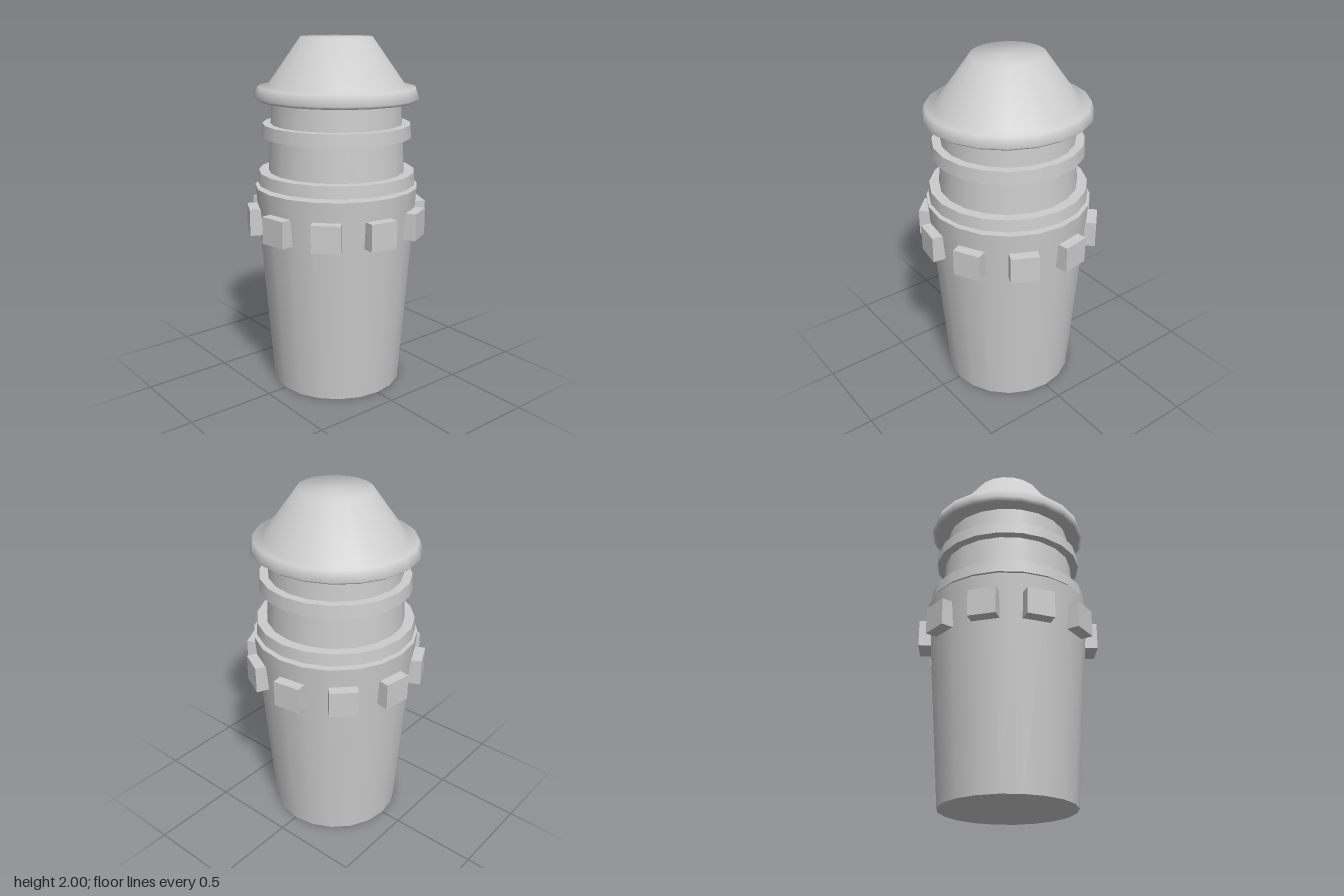
import * as THREE from 'three';

const SIDES = 20;

export function createModel() {
  const model = new THREE.Group();
  const material = new THREE.MeshStandardMaterial({ color: 0xcccccc });

  const add = (name, geometry, parent = model) => {
    const mesh = new THREE.Mesh(geometry, material);
    mesh.name = name;
    parent.add(mesh);
    return mesh;
  };

  // Tapered round section between two heights, slightly narrowed in depth
  const section = (name, y0, r0, y1, r1, depth = 1) => {
    const mesh = add(name, new THREE.CylinderGeometry(r1, r0, y1 - y0, SIDES));
    mesh.position.y = (y0 + y1) / 2;
    mesh.scale.z = depth;
    return mesh;
  };

  // Main body, collar, neck and rings
  section('body', 0, 0.378, 1.175, 0.465);
  section('collar', 1.16, 0.345, 1.21, 0.345);
  section('neck', 1.2, 0.395, 1.67, 0.365, 0.985);
  section('lowerRing', 1.192, 0.453, 1.26, 0.447, 0.99);
  section('upperRing', 1.455, 0.43, 1.527, 0.423, 0.98);

  // Smooth cap: flat underside, rounded rim, shelf, cone and flat top
  const profile = [
    [0, 1.655], [0.452, 1.655], [0.475, 1.672], [0.455, 1.73],
    [0.40, 1.735], [0.205, 2], [0, 2],
  ].map(([r, y]) => new THREE.Vector2(r, y));
  const cap = add('cap', new THREE.LatheGeometry(profile, SIDES));
  cap.scale.z = 0.95;

  // Blocks on every other facet of the body
  const blocks = new THREE.Group();
  blocks.name = 'blocks';
  model.add(blocks);
  const blockGeometry = new THREE.BoxGeometry(0.157, 0.152, 0.08);
  for (let i = 0; i < 10; i++) {
    const angle = Math.PI * (0.05 + i * 0.2);
    const block = add('block', blockGeometry, blocks);
    block.position.set(Math.sin(angle) * 0.47, 0.988, Math.cos(angle) * 0.47);
    block.rotation.y = angle;
  }

  return model;
}
